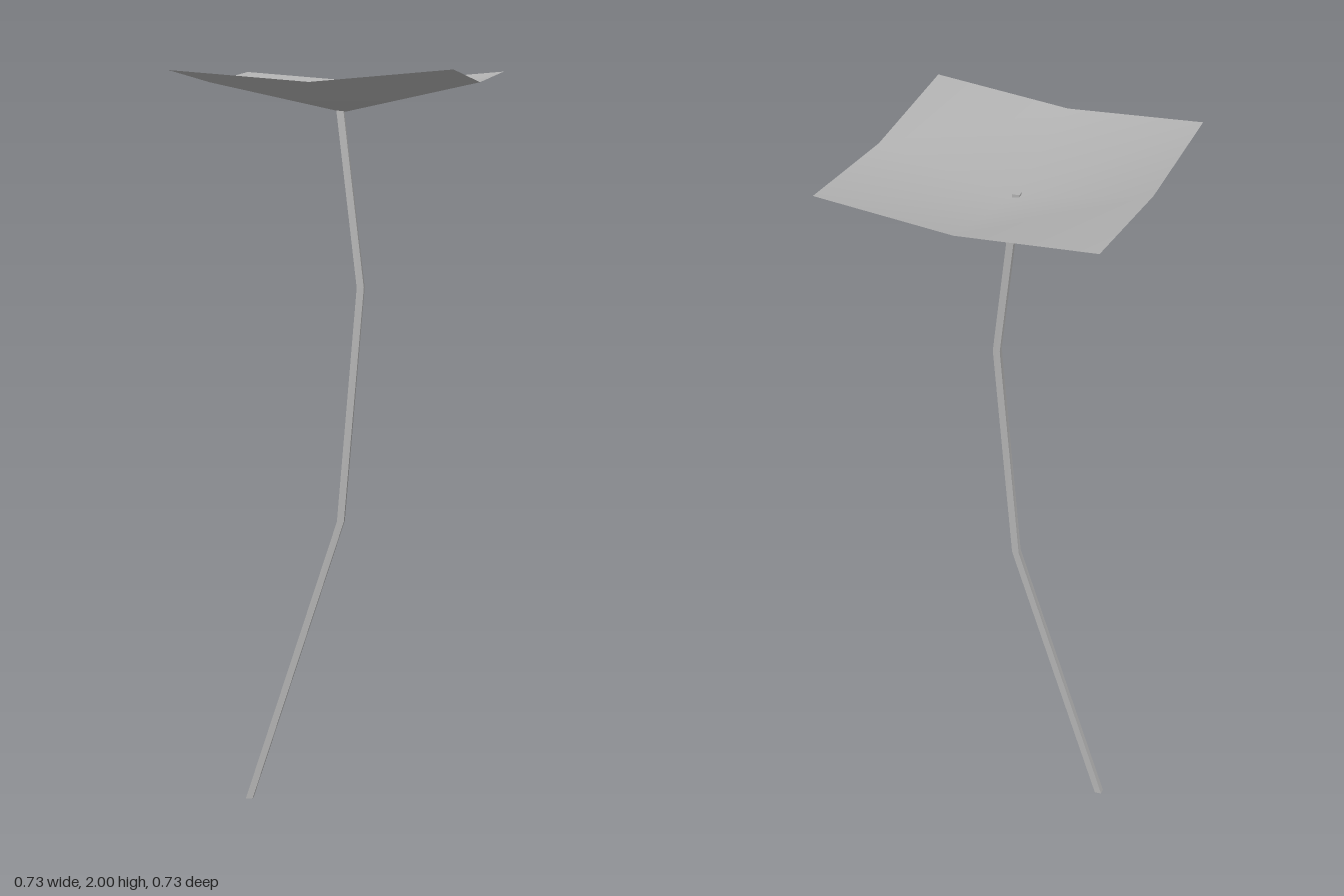
import * as THREE from 'three';

export function createModel() {
  const group = new THREE.Group();
  const grey = new THREE.MeshStandardMaterial({ color: 0xb2b2b2, side: THREE.DoubleSide });
  grey.name = 'grey';

  // Canopy: thin 2 x 2 sheet, lowest in the middle, raised at edges and corners
  const half = 0.366;
  const sheet = new THREE.PlaneGeometry(half * 2, half * 2, 2, 2).rotateX(-Math.PI / 2);
  const heights = [1.892, 1.97, 2.0]; // middle, edge midpoints, corners
  const sp = sheet.attributes.position;
  for (let i = 0; i < sp.count; i++) {
    const raised = (Math.abs(sp.getX(i)) > 0.1) + (Math.abs(sp.getZ(i)) > 0.1);
    sp.setY(i, heights[raised]);
  }
  sheet.computeVertexNormals();
  const canopy = new THREE.Mesh(sheet, grey);
  canopy.name = 'canopy';

  // Stem: square bar bent through four stations, its tip just piercing the canopy
  const stations = [
    [-0.266, 0, 0.008],
    [-0.004, 0.795, 0.011],
    [0.051, 1.43, 0.013],
    [-0.007, 1.902, 0.006],
  ];
  const bar = new THREE.BoxGeometry(0.019, 3, 0.018, 1, 3, 1).rotateY(0.08);
  const bp = bar.attributes.position;
  for (let i = 0; i < bp.count; i++) {
    const [x, y, z] = stations[Math.round(bp.getY(i) + 1.5)];
    bp.setXYZ(i, bp.getX(i) + x, y, bp.getZ(i) + z);
  }
  bar.computeVertexNormals();
  const stem = new THREE.Mesh(bar, grey);
  stem.name = 'stem';

  group.add(canopy, stem);
  return group;
}
